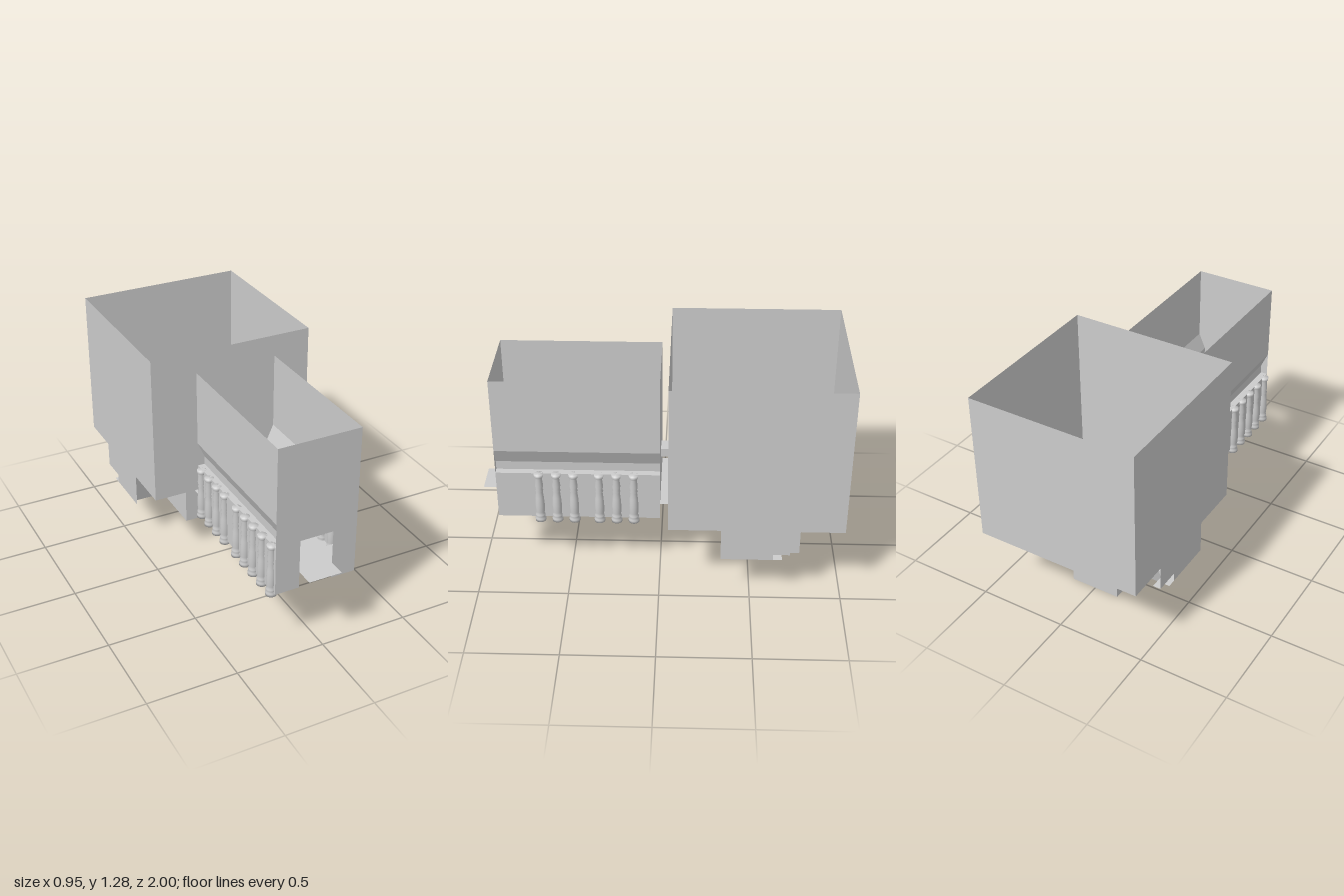
import * as THREE from 'three';

const material = new THREE.MeshStandardMaterial({ color: 0xcccccc, side: THREE.DoubleSide });

export function createModel() {
  const model = new THREE.Group();

  const add = (name, geometry) => {
    const mesh = new THREE.Mesh(geometry, material);
    mesh.name = name;
    model.add(mesh);
    return mesh;
  };

  // Open sheet: a section of [a, y] points swept from s0 to s1.
  // along 'x': a is z; along 'z': a is x.
  const sheet = (name, section, s0, s1, along) => {
    const pos = [];
    const at = ([a, y], s) => (along === 'x' ? [s, y, a] : [a, y, s]);
    for (let i = 0; i < section.length - 1; i++) {
      const a = at(section[i], s0), b = at(section[i + 1], s0);
      const c = at(section[i + 1], s1), d = at(section[i], s1);
      pos.push(...a, ...b, ...c, ...a, ...c, ...d);
    }
    const g = new THREE.BufferGeometry();
    g.setAttribute('position', new THREE.Float32BufferAttribute(pos, 3));
    g.computeVertexNormals();
    return add(name, g);
  };

  // Flat outline with optional hole
  const outline = (points, hole) => {
    const v = (list) => list.map(([a, b]) => new THREE.Vector2(a, b));
    const shape = new THREE.Shape(v(points));
    if (hole) shape.holes.push(new THREE.Path(v(hole)));
    return new THREE.ShapeGeometry(shape);
  };
  const rect = (x0, x1, y0, y1) => [[x0, y0], [x1, y0], [x1, y1], [x0, y1]];

  // ---- Large room ----
  const W = 0.475, top = 1.285, floorY = 0.43, pitY = 0.24;
  sheet('largeRoomFrontWall', [[-0.05, floorY], [-0.05, top]], -W, W, 'x');
  sheet('largeRoomBackWall', [[-1, floorY], [-1, top]], -W, W, 'x');

  // Side walls drop down around the trench, with a step at the rear
  const side = [
    [-0.05, top], [-0.05, floorY], [-0.335, floorY], [-0.335, pitY], [-0.62, pitY],
    [-0.62, 0.29], [-0.76, 0.29], [-0.76, floorY], [-1, floorY], [-1, top],
  ].map(([z, y]) => [-z, y]);
  for (const s of [-1, 1]) {
    const wall = add('largeRoomSideWall', outline(side).rotateY(Math.PI / 2));
    wall.position.x = s * W;

    // Small stepped corner beside the rear slope
    const jog = add('cornerPanel', outline(rect(0.53, 0.715, pitY, 0.29)).rotateY(Math.PI / 2));
    jog.position.x = s * 0.43;
    sheet('cornerLedge', [[-0.53, 0.29], [-0.76, 0.29]], s * 0.43, s * W, 'x');
  }

  // Floor, sloped trench and shaft
  sheet('largeRoomFrontFloor', [[-0.05, floorY], [-0.335, floorY], [-0.38, pitY]], -W, W, 'x');
  sheet('largeRoomBackFloor', [[-1, floorY], [-0.72, floorY]], -W, W, 'x');
  sheet('trenchBackSlope', [[-0.72, floorY], [-0.67, pitY]], -0.43, 0.43, 'x');
  const trench = add('trenchFloor',
    outline(rect(-W, W, 0.38, 0.67), rect(-0.143, 0.143, 0.381, 0.667)).rotateX(-Math.PI / 2));
  trench.position.y = pitY;
  for (const x of [-0.143, 0.143]) sheet('shaftSide', [[x, 0], [x, pitY]], -0.665, -0.38, 'z');
  for (const z of [-0.665, -0.38]) sheet('shaftEnd', [[z, 0], [z, pitY]], -0.143, 0.143, 'x');

  // ---- Passage between rooms ----
  sheet('passageFloor', [[-0.05, floorY], [0, floorY]], -0.235, 0.235, 'x');
  const lintel = add('passageBlock', new THREE.BoxGeometry(0.09, 0.05, 0.05));
  lintel.position.set(0, 0.645, -0.025);

  // ---- Small room ----
  const w = 0.235, low = 0.335, roof = 1.19, length = 0.9;

  // Front wall with a doorway
  const front = add('smallRoomFrontWall', outline([
    [-w, low], [-0.096, low], [-0.096, 0.622], [0.096, 0.622], [0.096, low],
    [w, low], [w, roof], [-w, roof],
  ]));
  front.position.z = length;
  sheet('smallRoomBackWall', [[0, floorY], [0, roof]], -w, w, 'x');

  // Side walls, each with a recessed groove and ledge
  for (const s of [-1, 1]) {
    sheet('smallRoomSideWall', [
      [s * w, roof], [s * w, 0.76], [s * 0.195, 0.67],
      [s * 0.195, 0.62], [s * w, 0.62], [s * w, low],
    ], 0, length, 'z');
  }

  // Floor dips between two slopes; a doorstep reaches out of the doorway
  sheet('smallRoomFloor', [
    [0, floorY], [0.04, floorY], [0.09, low], [0.71, low], [0.76, floorY], [length, floorY],
  ], -w, w, 'x');
  sheet('doorstep', [[length, floorY], [1, floorY]], -0.095, 0.095, 'x');

  // Turned columns: nine on the right, six on the left
  const profile = [
    [0, 0.315], [0.03, 0.315], [0.03, 0.331], [0.025, 0.336], [0.027, 0.346], [0.027, 0.356],
    [0.022, 0.364], [0.025, 0.374], [0.026, 0.42], [0.023, 0.47], [0.019, 0.505],
    [0.023, 0.514], [0.019, 0.523], [0.023, 0.545], [0.018, 0.592], [0.025, 0.602],
    [0.026, 0.62], [0, 0.62],
  ].map(([r, y]) => new THREE.Vector2(r, y));
  const columnGeometry = new THREE.LatheGeometry(profile, 20);
  const column = (x, z) => add('column', columnGeometry).position.set(x, 0, z);
  const shared = [0.145, 0.24, 0.335, 0.475, 0.57, 0.665];
  for (const z of shared) column(0.237, z);
  for (const z of [0.05, ...shared, 0.76, 0.86]) column(-0.237, z);

  return model;
}
